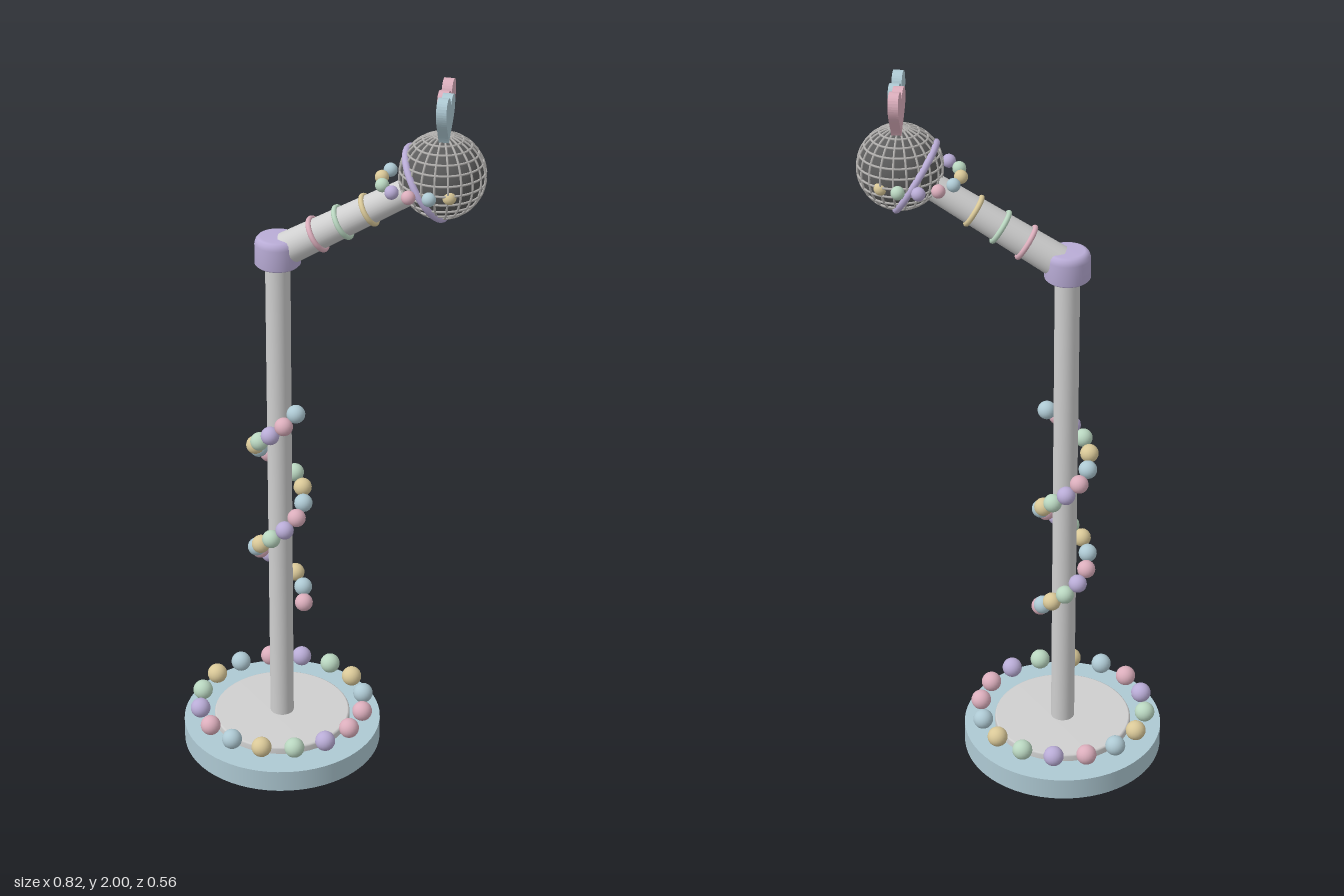
import * as THREE from 'three';

const mat = (name, color) => {
  const m = new THREE.MeshStandardMaterial({ color });
  m.name = name;
  return m;
};

export function createModel() {
  const model = new THREE.Group();
  model.name = 'decoratedMicrophone';

  const blue = mat('pastelBlue', 0xaec9d3);
  const pink = mat('pastelPink', 0xdbaebc);
  const purple = mat('pastelPurple', 0xb9acd6);
  const green = mat('pastelGreen', 0xb9d6c0);
  const yellow = mat('pastelYellow', 0xd9c898);
  const silver = mat('silver', 0xcfcfcf);
  const wire = mat('wireGrey', 0xb2b0ae);
  const dark = mat('darkGrey', 0x5c5c5c);
  const beadColors = [pink, blue, yellow, green, purple];

  const add = (parent, name, geometry, material, x = 0, y = 0, z = 0) => {
    const mesh = new THREE.Mesh(geometry, material);
    mesh.name = name;
    mesh.position.set(x, y, z);
    parent.add(mesh);
    return mesh;
  };
  const group = (name, x = 0, y = 0, z = 0) => {
    const g = new THREE.Group();
    g.name = name;
    g.position.set(x, y, z);
    model.add(g);
    return g;
  };
  // beads on a circle or rising helix, in repeating colours
  const beads = (name, parent, count, perTurn, radius, size, rise = 0) => {
    const geometry = new THREE.SphereGeometry(size, 20, 14);
    for (let i = 0; i < count; i++) {
      const a = (i / perTurn) * Math.PI * 2;
      add(parent, name, geometry, beadColors[i % 5],
        radius * Math.cos(a), i * rise, -radius * Math.sin(a));
    }
  };
  const lathe = (points) =>
    new THREE.LatheGeometry(points.map(([x, y]) => new THREE.Vector2(x, y)), 48);

  const poleX = -0.133;

  // base and its ring of beads
  add(model, 'base', new THREE.CylinderGeometry(0.278, 0.278, 0.063, 64), blue, poleX, 0.0315, 0);
  add(model, 'basePlate', lathe([[0.192, 0.06], [0.192, 0.078], [0.19, 0.082], [0.186, 0.084], [0, 0.084]]),
    silver, poleX, 0, 0);
  beads('baseBead', group('baseBeads', poleX, 0.112, 0), 16, 16, 0.233, 0.028);

  // pole with beads winding around it
  add(model, 'pole', new THREE.CylinderGeometry(0.033, 0.033, 1.42, 32), silver, poleX, 0.79, 0);
  beads('poleBead', group('poleBeads', poleX, 0.45, 0), 22, 11, 0.065, 0.025, 0.029);

  // collar joint
  add(model, 'collar', lathe([[0, 1.475], [0.055, 1.475], [0.06, 1.48], [0.06, 1.535],
    [0.057, 1.546], [0.051, 1.553], [0.044, 1.555], [0, 1.555]]), purple, poleX, 0, 0);

  // tilted handle: local +y runs from the collar towards the head
  const start = new THREE.Vector3(-0.108, 1.522, 0);
  const head = new THREE.Vector3(0.295, 1.765, 0);
  const reach = start.distanceTo(head);
  const handle = group('handle', start.x, start.y, 0);
  handle.rotation.z = Math.atan2(head.y - start.y, head.x - start.x) - Math.PI / 2;
  const armLength = reach - 0.08;
  add(handle, 'handleTube', new THREE.CylinderGeometry(0.035, 0.044, armLength, 32), silver, 0, armLength / 2, 0);
  const ring = (name, radius, tube, along, material) => {
    const mesh = add(handle, name, new THREE.TorusGeometry(radius, tube, 12, 48), material, 0, along, 0);
    mesh.rotation.x = Math.PI / 2;
  };
  ring('handleRing', 0.044, 0.007, 0.095, pink);
  ring('handleRing', 0.042, 0.007, 0.172, green);
  ring('handleRing', 0.039, 0.007, 0.252, yellow);
  ring('headBand', 0.1, 0.009, reach - 0.047, purple);

  // head: dark core inside a wire cage
  const cage = group('head', head.x, head.y, 0);
  const R = 0.109;
  add(cage, 'headCore', new THREE.SphereGeometry(0.106, 40, 26), dark);
  const meridian = new THREE.TorusGeometry(R, 0.003, 6, 52);
  for (let i = 0; i < 10; i++) {
    add(cage, 'cageMeridian', meridian, wire).rotation.y = (i / 10) * Math.PI;
  }
  for (let i = 1; i < 13; i++) {
    const a = (i / 13) * Math.PI;
    add(cage, 'cageParallel', new THREE.TorusGeometry(R * Math.sin(a), 0.003, 6, 40), wire,
      0, R * Math.cos(a), 0).rotation.x = Math.PI / 2;
  }

  // bead bracelet around the head
  beads('headBead', group('headBeads', 0.257, 1.745, 0), 14, 14, 0.117, 0.018);

  // two hearts standing on the head, facing sideways
  const shape = new THREE.Shape();
  shape.moveTo(0, 0);
  shape.bezierCurveTo(0.02, 0.03, 0.058, 0.055, 0.058, 0.086);
  shape.bezierCurveTo(0.058, 0.126, 0.012, 0.128, 0, 0.092);
  shape.bezierCurveTo(-0.012, 0.128, -0.058, 0.126, -0.058, 0.086);
  shape.bezierCurveTo(-0.058, 0.055, -0.02, 0.03, 0, 0);
  const heartGeometry = new THREE.ExtrudeGeometry(shape, { depth: 0.026, bevelEnabled: false, curveSegments: 14 });
  heartGeometry.translate(0, 0, -0.013);
  for (const [name, material, x, side] of [['blueHeart', blue, 0.306, 1], ['pinkHeart', pink, 0.293, -1]]) {
    const heart = group(name, x, 1.874, side * 0.054);
    heart.rotation.x = -side * 0.17;
    add(heart, name, heartGeometry, material).rotation.y = Math.PI / 2;
  }

  return model;
}
